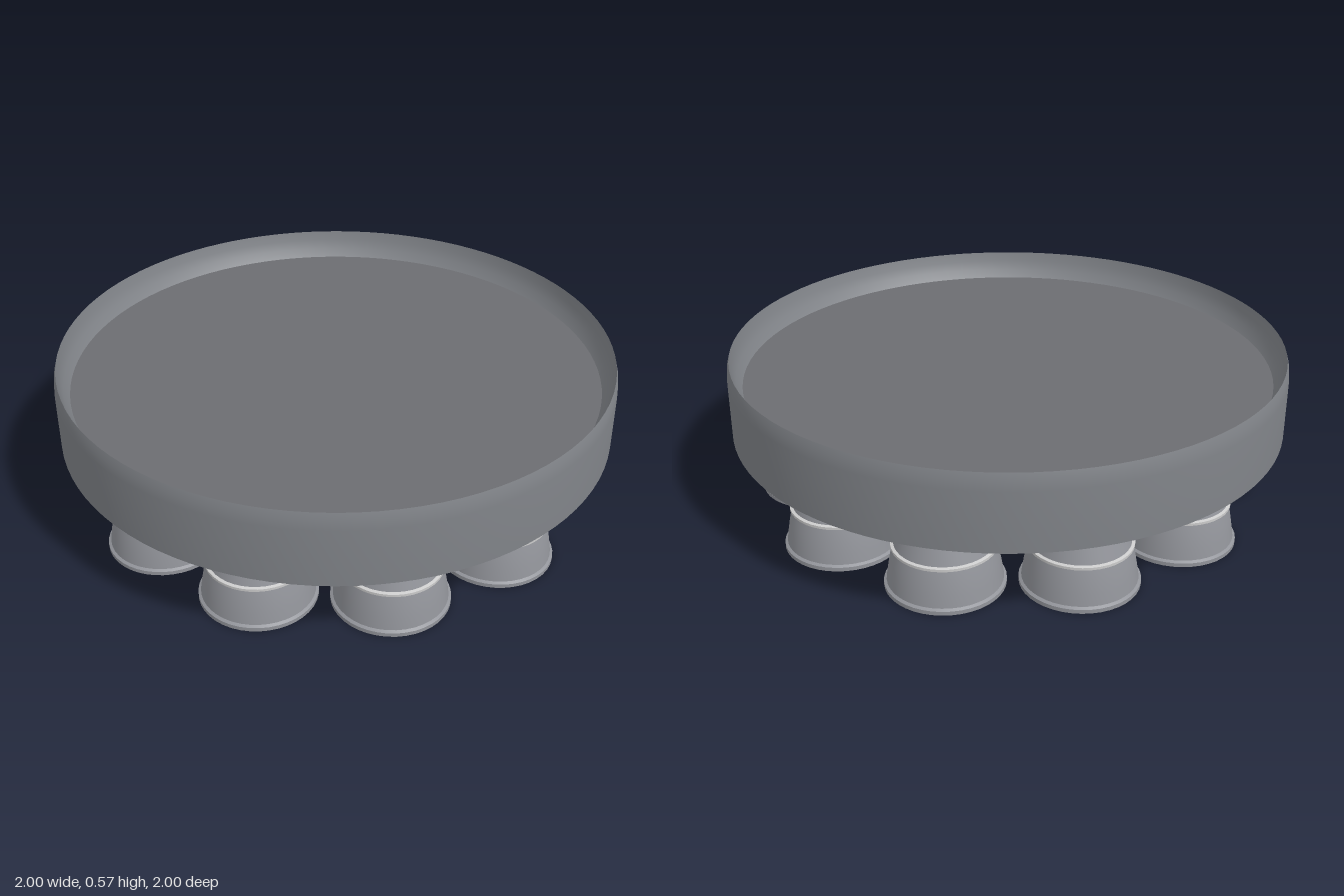
import * as THREE from 'three';
import { toCreasedNormals } from 'three/addons/utils/BufferGeometryUtils.js';

const mat = (color) => new THREE.MeshStandardMaterial({ color, side: THREE.DoubleSide });
const hull = mat(0x808388);
const plate = mat(0x6c6d71);
const bell = mat(0x92949a);
const bright = mat(0xcccccc);
const dark = mat(0x5c5c5e);
const heat = [mat(0x93918f), mat(0x988d80), mat(0x9b8a72)];

// Surface of revolution; profile is [radius, y], running upward on outer faces
function lathe(name, profile, material, segments) {
  const points = profile.map(([r, y]) => new THREE.Vector2(r, y));
  const geometry = toCreasedNormals(new THREE.LatheGeometry(points, segments), 0.5);
  const mesh = new THREE.Mesh(geometry, material);
  mesh.name = name;
  return mesh;
}

const PLATE_Y = 0.47;

function createEngine() {
  const engine = new THREE.Group();
  engine.name = 'engine';
  const add = (name, profile, material) => engine.add(lathe(name, profile, material, 40));

  // Flared exit lip
  add('exitLip', [[0.185, 0], [0.203, 0], [0.203, 0.014], [0.194, 0.02]], bell);
  // Bell skirt, stiffening band and upper bell
  add('bellSkirt', [[0.194, 0.02], [0.188, 0.06], [0.18, 0.105], [0.17, 0.145]], bell);
  add('bellBand', [[0.17, 0.143], [0.178, 0.146], [0.178, 0.155], [0.168, 0.158]], bright);
  add('upperBell', [[0.168, 0.155], [0.152, 0.205], [0.136, 0.255]], bell);
  // Heat-tinted throat, tan deepening toward the plate
  const throat = [[0.136, 0.255], [0.121, 0.3], [0.104, 0.35], [0.07, PLATE_Y]];
  heat.forEach((m, i) => add('throat' + (i + 1), [throat[i], throat[i + 1]], m));
  // Inner wall of the bell
  add('bellInterior', [[0.06, PLATE_Y - 0.005], [0.112, 0.3], [0.16, 0.15], [0.178, 0.06], [0.185, 0]], dark);
  return engine;
}

export function createModel() {
  const model = new THREE.Group();
  model.name = 'engineSection';

  // Outer skirt: flat lower lip, slight taper and sloped inner rim at the top
  model.add(lathe('skirt', [
    [0.95, 0.3], [1, 0.3], [1, 0.51], [0.997, 0.545], [0.99, 0.57],
    [0.983, 0.535], [0.97, 0.5], [0.95, PLATE_Y], [0.95, 0.3],
  ], hull, 96));

  // Bulkhead plate closing the skirt
  model.add(lathe('bulkhead', [
    [0, PLATE_Y - 0.005], [0.95, PLATE_Y - 0.005], [0.95, PLATE_Y], [0, PLATE_Y],
  ], plate, 96));

  // Ring of ten engines
  const count = 10, ring = 0.718;
  for (let i = 0; i < count; i++) {
    const a = THREE.MathUtils.degToRad(-2.3 + (i * 360) / count);
    const engine = createEngine();
    engine.position.set(ring * Math.cos(a), 0, ring * Math.sin(a));
    model.add(engine);
  }
  return model;
}
